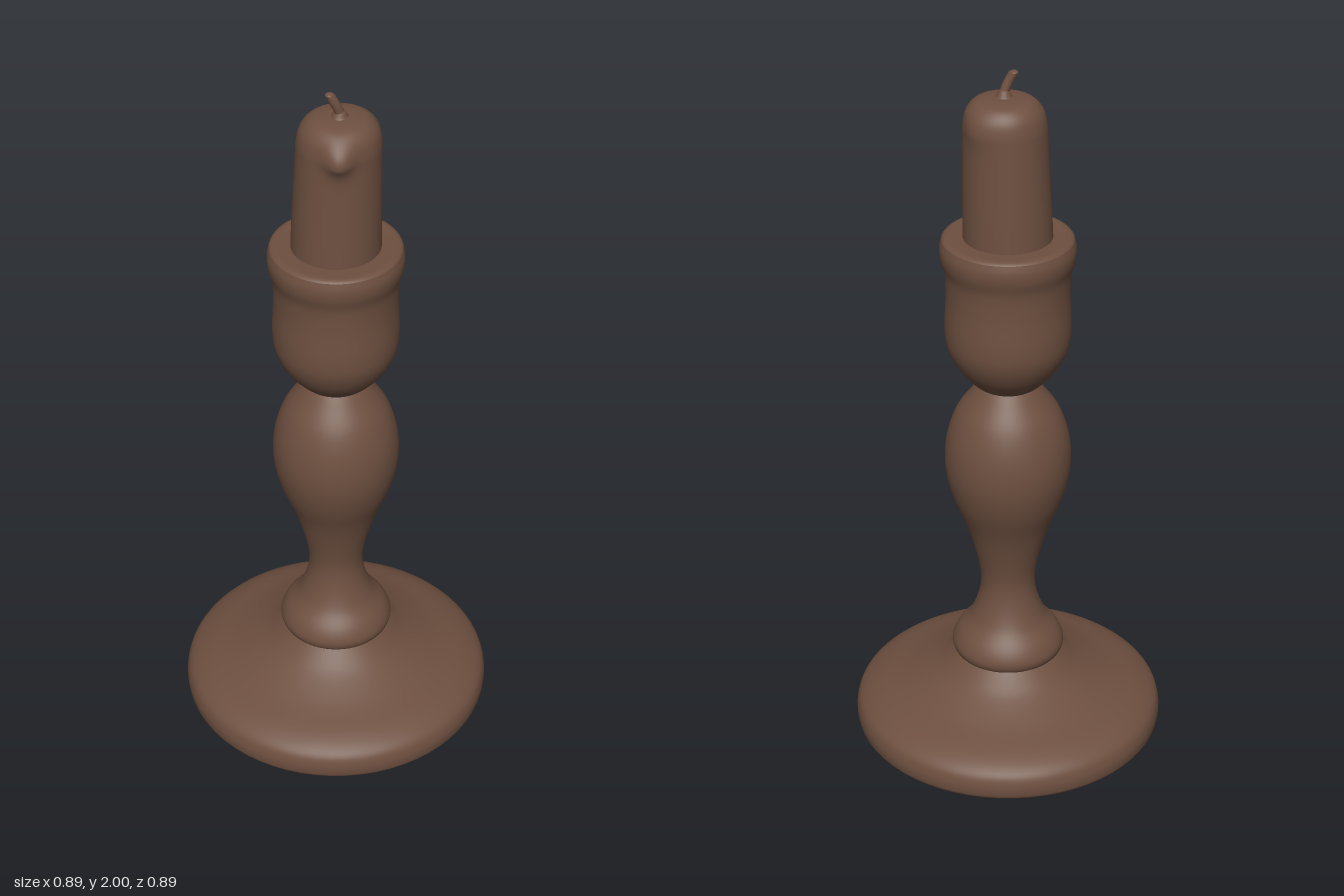
import * as THREE from 'three';
import { mergeVertices } from 'three/addons/utils/BufferGeometryUtils.js';

const brown = new THREE.MeshStandardMaterial({ color: 0x6e5040 });
brown.name = 'brown';

// Smooth curve through [radius, height] points, turned around the y axis
function turned(points, samples, segments = 64) {
  const curve = new THREE.SplineCurve(points.map(([r, y]) => new THREE.Vector2(r, y)));
  const profile = curve.getPoints(samples).map(p => new THREE.Vector2(Math.max(p.x, 0), p.y));
  return new THREE.LatheGeometry(profile, segments);
}

// Weld seams and rebuild smooth normals after moving vertices
function weld(geometry) {
  geometry.deleteAttribute('normal');
  geometry.deleteAttribute('uv');
  const welded = mergeVertices(geometry, 1e-4);
  welded.computeVertexNormals();
  return welded;
}

export function createModel() {
  const group = new THREE.Group();
  group.name = 'candlestick';
  const add = (name, geometry) => {
    const mesh = new THREE.Mesh(geometry, brown);
    mesh.name = name;
    group.add(mesh);
    return mesh;
  };

  // Wide foot with a flat underside
  add('baseUnderside', new THREE.CircleGeometry(0.435, 64).rotateX(Math.PI / 2));
  add('base', turned([[0.435, 0], [0.442, 0.012], [0.443, 0.045], [0.428, 0.078], [0.38, 0.107],
    [0.29, 0.137], [0.21, 0.175], [0.165, 0.21], [0.14, 0.235]], 40));

  // Baluster stem: lower collar, narrow waist and swelling
  add('stem', turned([[0.14, 0.224], [0.155, 0.235], [0.16, 0.26], [0.145, 0.295], [0.11, 0.34],
    [0.086, 0.40], [0.077, 0.46], [0.086, 0.53], [0.116, 0.64], [0.155, 0.74], [0.175, 0.83],
    [0.172, 0.92], [0.145, 1.005], [0.10, 1.07], [0.076, 1.10]], 70));

  // Candle cup with a flared lip
  add('cup', turned([[0.076, 1.09], [0.10, 1.108], [0.14, 1.155], [0.166, 1.21], [0.173, 1.27],
    [0.169, 1.36], [0.171, 1.43], [0.182, 1.475], [0.184, 1.505], [0.178, 1.53]], 50));
  add('cupRim', turned([[0.178, 1.53], [0.168, 1.537], [0.14, 1.537], [0.10, 1.537]], 8));

  // Candle: leans a little forward, with a wax drip at the front right
  const candle = turned([[0.121, 1.53], [0.119, 1.62], [0.116, 1.72], [0.113, 1.82], [0.111, 1.86],
    [0.102, 1.895], [0.08, 1.92], [0.05, 1.929], [0.02, 1.931], [0, 1.931]], 50);
  const pos = candle.attributes.position;
  const bump = (angle, centre, width) => {
    const d = Math.atan2(Math.sin(angle - centre), Math.cos(angle - centre)) / width;
    return Math.exp(-d * d);
  };
  for (let i = 0; i < pos.count; i++) {
    const x = pos.getX(i), y = pos.getY(i), z = pos.getZ(i);
    const r = Math.hypot(x, z), angle = Math.atan2(x, z);
    const high = Math.exp(-(((y - 1.87) / 0.045) ** 2));
    const drip = bump(angle, -0.95, 0.32);
    const swell = 1 + high * (0.24 * drip + 0.06 * bump(angle, 1.35, 0.4));
    const lean = 0.009 * Math.max(0, (y - 1.53) / 0.4);
    pos.setXYZ(i, x * swell + lean * 0.4, y - 0.012 * drip * high * r / 0.11, z * swell + lean);
  }
  add('candle', weld(candle));

  // Bent wick rising from a small wax mound
  const path = new THREE.CatmullRomCurve3([
    new THREE.Vector3(0.003, 1.915, 0.014), new THREE.Vector3(-0.003, 1.945, 0.012),
    new THREE.Vector3(-0.012, 1.972, 0.004), new THREE.Vector3(-0.019, 1.994, -0.006),
  ]);
  add('wick', new THREE.TubeGeometry(path, 12, 0.013, 10));
  const tip = add('wickTip', new THREE.SphereGeometry(0.013, 10, 8));
  tip.scale.y = 0.5;
  tip.position.set(-0.019, 1.9935, -0.006);
  const mound = add('wickMound', turned([[0.032, 1.925], [0.022, 1.932], [0.013, 1.947], [0, 1.952]], 12, 20));
  mound.position.z = 0.012;

  return group;
}
